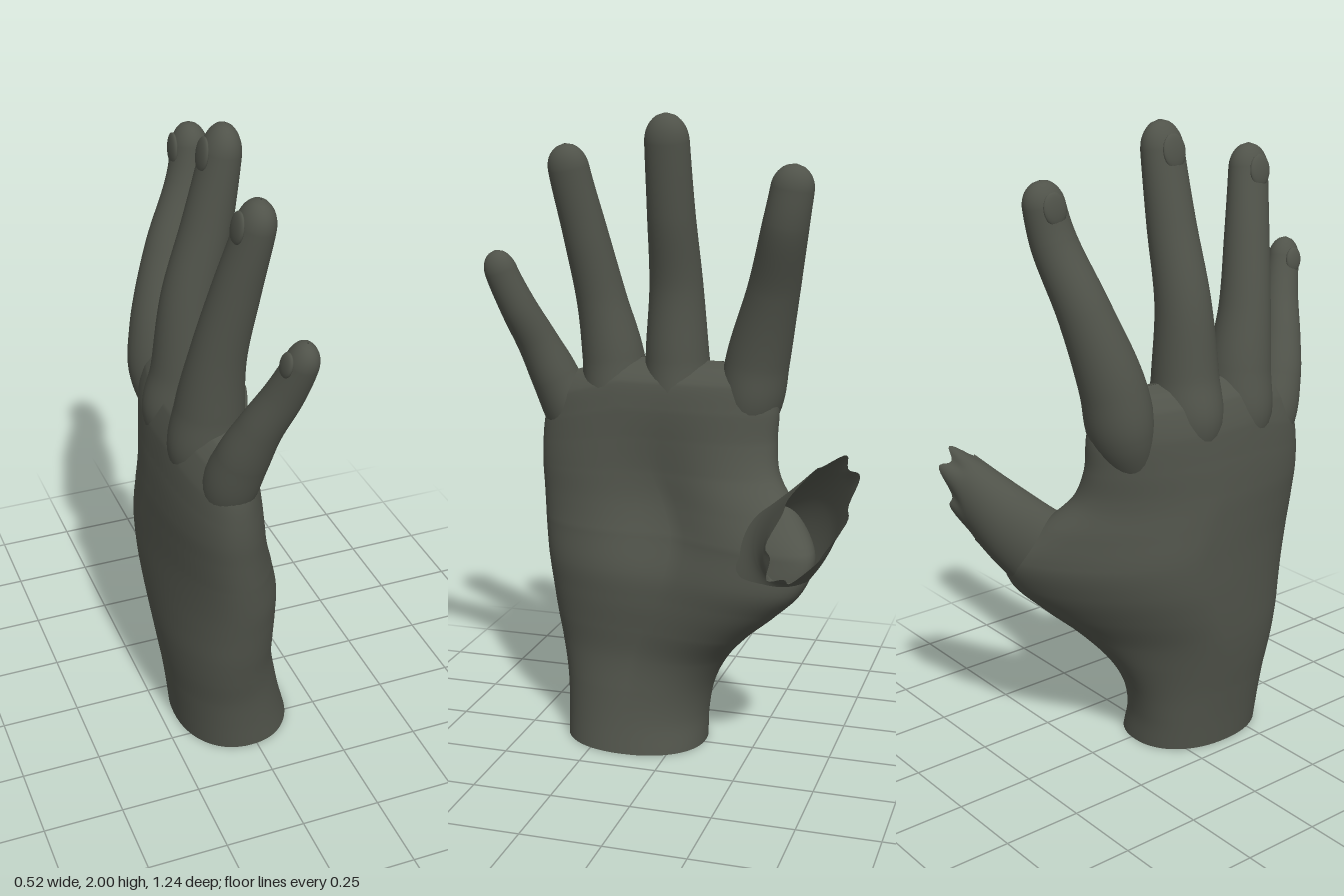
import * as THREE from 'three';
import { ParametricGeometry } from 'three/addons/geometries/ParametricGeometry.js';

const V = (x, y, z) => new THREE.Vector3(x, y, z);
const curve = (points) => new THREE.CatmullRomCurve3(points);

const skin = new THREE.MeshStandardMaterial({ color: 0x50534a, side: THREE.DoubleSide });
skin.name = 'dark olive grey';

// Smooth surface: u runs around the part, v along it
function surface(name, fn, around, along) {
  const mesh = new THREE.Mesh(new ParametricGeometry((u, v, target) => {
    target.copy(fn(u * Math.PI * 2, Math.min(Math.max(v, 0), 1)));
  }, around, along), skin);
  mesh.name = name;
  return mesh;
}

// Wrist, palm and ball of the thumb: [y, zMin, zMax, xBack, xPalm, thumb edge shift]
const palmSections = [
  [0.005, -0.09, 0.37, -0.205, 0.165, 0],
  [0.1, -0.09, 0.375, -0.215, 0.14, 0],
  [0.2, -0.11, 0.385, -0.228, 0.12, 0.02],
  [0.3, -0.16, 0.405, -0.243, 0.105, 0.06],
  [0.4, -0.24, 0.425, -0.255, 0.11, 0.12],
  [0.5, -0.345, 0.44, -0.262, 0.12, 0.17],
  [0.6, -0.435, 0.455, -0.266, 0.122, 0.21],
  [0.7, -0.465, 0.467, -0.266, 0.1, 0.21],
  [0.8, -0.4, 0.477, -0.264, 0.07, 0.14],
  [0.9, -0.318, 0.485, -0.26, 0.05, 0.07],
  [1.0, -0.3, 0.485, -0.252, 0.035, 0.04],
  [1.1, -0.302, 0.478, -0.24, 0.022, 0.03],
  [1.18, -0.29, 0.46, -0.21, 0.002, 0.02],
  [1.225, -0.265, 0.435, -0.16, -0.05, 0.01],
  [1.24, -0.25, 0.42, -0.106, -0.104, 0],
];

function makePalm() {
  const sides = curve(palmSections.map((s) => V(s[1], s[0], s[2])));
  const faces = curve(palmSections.map((s) => V(s[3], s[5], s[4])));
  const power = (k) => Math.sign(k) * Math.pow(Math.abs(k), 0.92);
  return surface('palm', (a, v) => {
    const s = sides.getPoint(v), f = faces.getPoint(v);
    const c = Math.cos(a), n = Math.sin(a);
    const z = (s.x + s.z) / 2 - power(n) * (s.z - s.x) / 2;
    let x = (f.x + f.z) / 2 + power(c) * (f.z - f.x) / 2;
    // the thumb side swings forward, fuller on the palm than on the back
    x += f.y * Math.pow(Math.max(0, n), 1.4 - 0.25 * c);
    // hollow of the palm
    if (c > 0) x -= 0.045 * c * Math.exp(-(((z - 0.07) / 0.16) ** 2) - (((s.y - 0.82) / 0.22) ** 2));
    // the edge slopes down towards the little finger
    const drop = THREE.MathUtils.smoothstep(s.y, 0.8, 1.2) * Math.max(0, z - 0.2) * 0.3;
    return V(x, s.y - drop, z);
  }, 72, 80);
}

// Fingers: [x, y, z, half width, half depth] from knuckle to tip
const fingers = {
  indexFinger: [
    [-0.1, 0.9, -0.15, 0.03, 0.04], [-0.105, 1.1, -0.203, 0.094, 0.105], [-0.098, 1.25, -0.228, 0.099, 0.103],
    [-0.045, 1.48, -0.288, 0.08, 0.083], [0.03, 1.68, -0.338, 0.07, 0.068],
    [0.045, 1.79, -0.36, 0.065, 0.056], [0.047, 1.86, -0.37, 0.062, 0.05]],
  middleFinger: [
    [-0.11, 0.9, 0.03, 0.03, 0.05], [-0.12, 1.1, 0.03, 0.105, 0.127], [-0.112, 1.25, 0.035, 0.1, 0.108],
    [-0.1, 1.47, 0.035, 0.084, 0.087], [-0.045, 1.7, 0.035, 0.074, 0.074],
    [-0.002, 1.915, 0.035, 0.069, 0.058], [0.01, 2.0, 0.035, 0.066, 0.05]],
  ringFinger: [
    [-0.11, 0.88, 0.22, 0.03, 0.04], [-0.12, 1.08, 0.235, 0.102, 0.118], [-0.117, 1.24, 0.25, 0.098, 0.103],
    [-0.103, 1.42, 0.282, 0.079, 0.083], [-0.065, 1.63, 0.32, 0.07, 0.07],
    [-0.025, 1.83, 0.357, 0.065, 0.055], [-0.015, 1.905, 0.365, 0.062, 0.05]],
  littleFinger: [
    [-0.1, 0.84, 0.34, 0.02, 0.03], [-0.112, 1.03, 0.388, 0.08, 0.08], [-0.088, 1.17, 0.44, 0.076, 0.08],
    [-0.055, 1.28, 0.482, 0.065, 0.067], [-0.005, 1.4, 0.527, 0.057, 0.058],
    [0.027, 1.515, 0.568, 0.052, 0.047], [0.035, 1.578, 0.583, 0.05, 0.04]],
};

function makeFinger(name, data) {
  const group = new THREE.Group();
  group.name = name;
  const path = curve(data.map((p) => V(p[0], p[1], p[2])));
  const radii = curve(data.map((p, i) => V(p[3], i * 0.2, p[4])));
  const last = data.length - 1;
  const frame = (v) => {
    const t = path.getTangent(v);
    const palmward = V(1, 0, 0).addScaledVector(t, -t.x).normalize();
    return { c: path.getPoint(v), r: radii.getPoint(v), t, palmward, side: t.clone().cross(palmward) };
  };
  group.add(surface(name + 'Body', (a, v) => {
    const { c, r, palmward, side } = frame(v);
    const tip = Math.max(0, v * last - (last - 1));
    const k = Math.sqrt(1 - 0.998 * tip * tip);
    return c.addScaledVector(palmward, Math.cos(a) * r.z * k).addScaledVector(side, Math.sin(a) * r.x * k);
  }, 28, 60));

  // thin domed nail on the back of the fingertip
  const f = frame((last - 1) / last);
  const nail = new THREE.Mesh(new THREE.SphereGeometry(1, 20, 12), skin);
  nail.name = name + 'Nail';
  nail.scale.set(0.012, f.r.x * 0.75, f.r.x * 0.6);
  nail.quaternion.setFromRotationMatrix(
    new THREE.Matrix4().makeBasis(f.palmward, f.t, f.side.clone().negate()));
  nail.position.copy(f.c).addScaledVector(f.palmward, -f.r.z * 0.95).addScaledVector(f.t, -0.01);
  group.add(nail);
  return group;
}

// Broken thumb: elliptical rings that turn into a slanted, open, ragged end
function makeThumb() {
  const centre = curve([V(0.02, 0.45, -0.12), V(0.085, 0.62, -0.265), V(0.15, 0.76, -0.4), V(0.25, 0.85, -0.475)]);
  const dorsal = curve([V(-0.08, 0.05, 0), V(-0.095, 0.07, -0.02), V(-0.062, 0.115, -0.052), V(0, 0.19, -0.105)]);
  const inner = curve([V(0, 0.06, 0.08), V(0, 0.08, 0.105), V(0, 0.055, 0.098), V(0, 0.042, 0.076)]);
  const axis = V(0.36, 0.7, -0.63);
  return surface('thumbStump', (a, v) => {
    const ragged = 0.02 * Math.sin(a * 8) * THREE.MathUtils.smoothstep(v, 0.88, 1);
    return centre.getPoint(v)
      .addScaledVector(dorsal.getPoint(v), Math.cos(a))
      .addScaledVector(inner.getPoint(v), Math.sin(a))
      .addScaledVector(axis, ragged);
  }, 72, 48);
}

export function createModel() {
  const hand = new THREE.Group();
  hand.name = 'hand';
  hand.add(makePalm(), makeThumb());
  for (const [name, data] of Object.entries(fingers)) hand.add(makeFinger(name, data));
  return hand;
}
